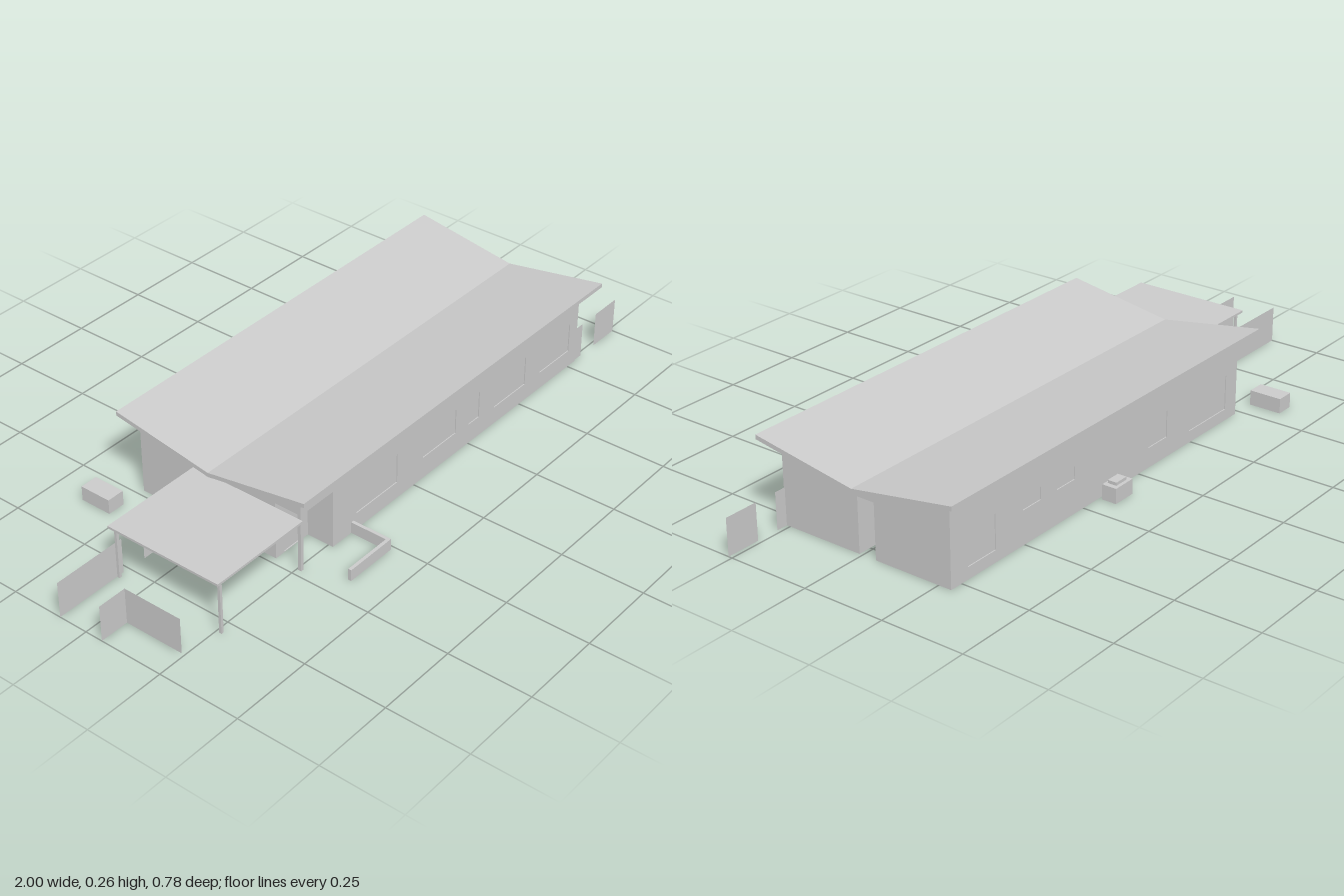
import * as THREE from 'three';

const VALLEY = -0.013;
const roofY = (z) => 0.197 + Math.abs(z - VALLEY) * 0.164; // underside of the roof
const T = 0.01; // wall thickness

export function createModel() {
  const house = new THREE.Group();
  house.name = 'house';
  const grey = new THREE.MeshStandardMaterial({ color: 0xcccccc, flatShading: true });
  const thin = new THREE.MeshStandardMaterial({ color: 0xcccccc, flatShading: true, side: THREE.DoubleSide });

  const add = (name, geometry, material = grey) => {
    const mesh = new THREE.Mesh(geometry, material);
    mesh.name = name;
    house.add(mesh);
    return mesh;
  };
  // box given by its limits
  const box = (name, x0, x1, y0, y1, z0, z1) =>
    add(name, new THREE.BoxGeometry(x1 - x0, y1 - y0, z1 - z0))
      .position.set((x0 + x1) / 2, (y0 + y1) / 2, (z0 + z1) / 2);
  // (z, y) outline swept along x
  const sweep = (name, points, x0, x1) => {
    const shape = new THREE.Shape(points.map(([z, y]) => new THREE.Vector2(-z, y)));
    const g = new THREE.ExtrudeGeometry(shape, { depth: x1 - x0, bevelEnabled: false });
    add(name, g.rotateY(Math.PI / 2)).position.x = x0;
  };
  // wall running along z whose top follows the roof
  const crossWall = (name, x0, z0, z1, y0 = 0) => {
    const top = [[z1, roofY(z1)]];
    if (z0 < VALLEY && z1 > VALLEY) top.push([VALLEY, roofY(VALLEY)]);
    top.push([z0, roofY(z0)]);
    sweep(name, [[z0, y0], [z1, y0], ...top], x0, x0 + T);
  };
  // wall running along x with window openings [x0, x1, y0, y1] and recessed panes
  const longWall = (name, x0, x1, z, top, windows) => {
    const shape = new THREE.Shape();
    shape.moveTo(x0, 0).lineTo(x1, 0).lineTo(x1, top).lineTo(x0, top);
    for (const [a, b, c, d] of windows) {
      const hole = new THREE.Path();
      hole.moveTo(a, c).lineTo(a, d).lineTo(b, d).lineTo(b, c);
      shape.holes.push(hole);
      box('windowPane', a, b, c, d, z + 0.003, z + T - 0.003);
    }
    add(name, new THREE.ExtrudeGeometry(shape, { depth: T, bevelEnabled: false })).position.z = z;
  };

  // butterfly roof
  const R = 0.013;
  sweep('roof', [
    [-0.335, 0.25], [VALLEY, 0.197], [0.31, 0.25],
    [0.31, 0.25 + R], [VALLEY, 0.197 + R], [-0.335, 0.25 + R],
  ], -0.52, 0.835);

  // front and back walls
  longWall('frontWall', -0.35, 0.79, 0.255, 0.243, [
    [-0.25, -0.075, 0.052, 0.147], [0.04, 0.19, 0.068, 0.147], [0.25, 0.3, 0.063, 0.147],
    [0.375, 0.525, 0.055, 0.148], [0.6, 0.75, 0.055, 0.148],
  ]);
  longWall('backWall', -0.48, 0.79, -0.29, 0.242, [
    [0.615, 0.724, 0.035, 0.138], [0.431, 0.506, 0.1, 0.138], [0.288, 0.363, 0.1, 0.138],
    [-0.133, -0.045, 0.06, 0.14], [-0.426, -0.242, 0.035, 0.14],
  ]);

  // right end wall with its doorway
  crossWall('rightEndWall', 0.78, 0.01, 0.265);
  crossWall('rightEndWall', 0.78, -0.29, -0.045);
  crossWall('doorHeader', 0.78, -0.045, 0.01, 0.163);
  box('hallLintel', 0.55, 0.56, 0.145, 0.2, -0.045, 0.01);

  // left end wall and the recessed entry porch
  crossWall('leftEndWall', -0.48, -0.29, 0.18);
  crossWall('porchSideHeader', -0.48, 0.18, 0.265, 0.18);
  box('porchFrontHeader', -0.48, -0.35, 0.18, 0.243, 0.255, 0.265);
  box('porchPost', -0.48, -0.47, 0, 0.18, 0.255, 0.265);
  crossWall('porchInnerWall', -0.35, 0.17, 0.265);
  longWall('entryWall', -0.48, -0.34, 0.17, roofY(0.17), [[-0.445, -0.385, 0.002, 0.15]]);

  // inner partitions either side of the hall
  for (const x of [-0.02, 0.21, 0.33, 0.56]) crossWall('frontPartition', x, 0.01, 0.26);
  for (const x of [-0.19, 0.02, 0.25, 0.39, 0.56]) crossWall('backPartition', x, -0.285, -0.045);
  for (const [a, b] of [[-0.02, 0.15], [0.21, 0.28], [0.33, 0.5], [0.56, 0.79]])
    box('hallWall', a, b, 0, 0.199, 0.01, 0.02);
  for (const [a, b] of [[-0.19, -0.04], [0.02, 0.19], [0.25, 0.34], [0.39, 0.51], [0.56, 0.79]])
    box('hallWall', a, b, 0, 0.2, -0.055, -0.045);

  // carport
  box('carportRoof', -0.805, -0.48, 0.16, 0.167, -0.1, 0.272);
  for (const z of [-0.085, 0.264])
    box('carportPost', -0.794, -0.786, 0, 0.16, z - 0.004, z + 0.004);

  // thin fence panels
  const fence = (x0, z0, x1, z1) => {
    const mesh = add('fencePanel', new THREE.PlaneGeometry(Math.hypot(x1 - x0, z1 - z0), 0.11), thin);
    mesh.position.set((x0 + x1) / 2, 0.055, (z0 + z1) / 2);
    mesh.rotation.y = -Math.atan2(z1 - z0, x1 - x0);
  };
  fence(-0.695, -0.087, -0.48, -0.087);
  fence(-1, -0.09, -0.77, -0.09);
  fence(-1, 0.055, -0.91, 0.055);
  fence(-0.91, 0.055, -0.91, 0.24);
  fence(0.79, 0.262, 0.825, 0.262);
  fence(0.895, 0.262, 1, 0.262);

  // low garden wall in front
  box('gardenWall', -0.43, -0.263, 0, 0.035, 0.38, 0.39);
  box('gardenWall', -0.273, -0.263, 0, 0.035, 0.265, 0.38);

  // equipment boxes behind
  box('storageBox', -0.615, -0.56, 0, 0.045, -0.39, -0.29);
  box('coolingUnit', 0.105, 0.18, 0, 0.045, -0.345, -0.3);
  box('coolingUnitTop', 0.12, 0.165, 0.045, 0.054, -0.335, -0.307);

  return house;
}
